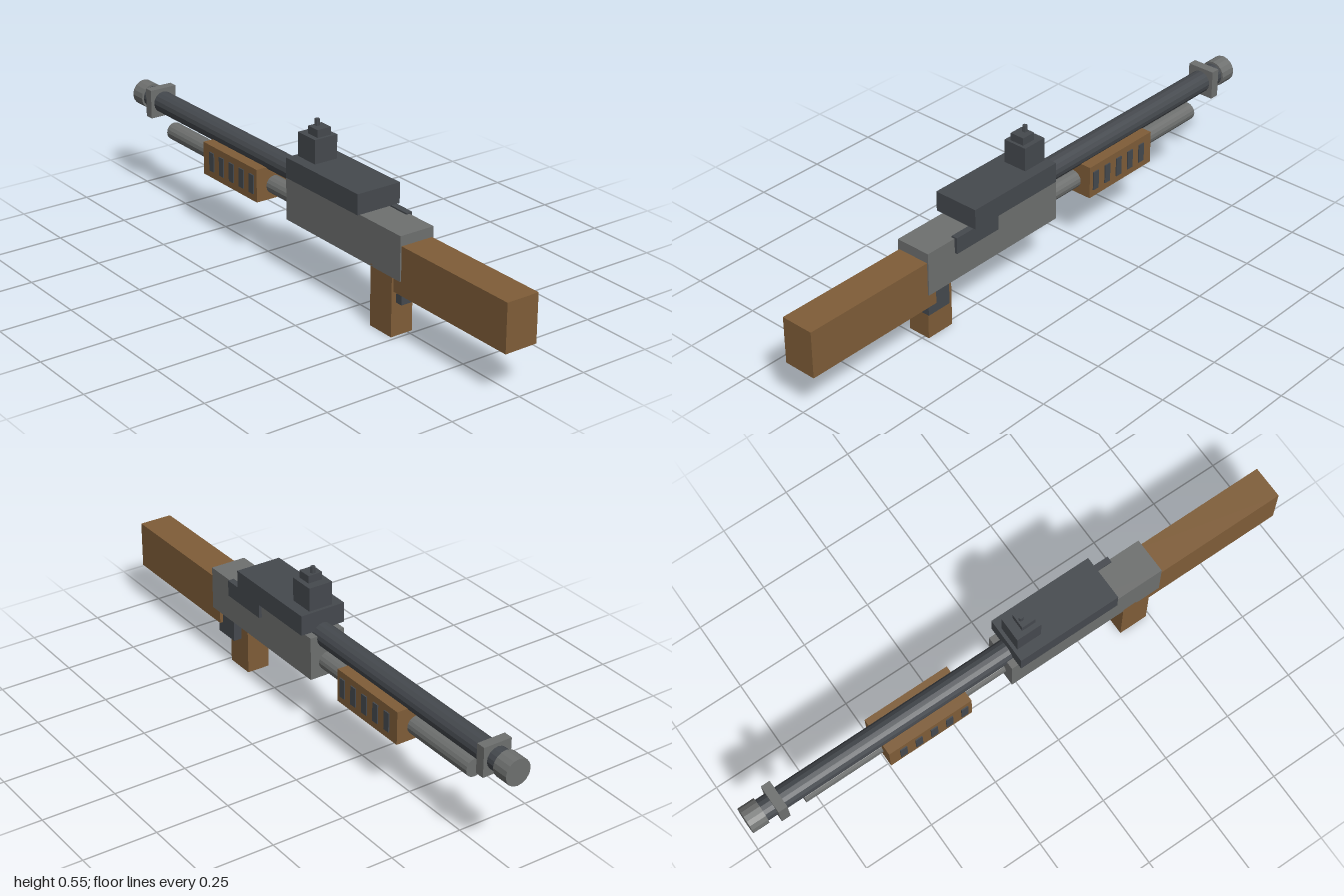
import * as THREE from 'three';

const mat = (name, color) => {
  const m = new THREE.MeshStandardMaterial({ color, flatShading: true });
  m.name = name;
  return m;
};

export function createModel() {
  const wood = mat('brown wood', 0x7f5d38);
  const dark = mat('dark metal', 0x45494e);
  const grey = mat('grey metal', 0x6e706f);
  const model = new THREE.Group();

  // box given by its limits on each axis
  const box = (name, material, [x0, x1], [y0, y1], [z0, z1], parent = model) => {
    const mesh = new THREE.Mesh(new THREE.BoxGeometry(x1 - x0, y1 - y0, z1 - z0), material);
    mesh.position.set((x0 + x1) / 2, (y0 + y1) / 2, (z0 + z1) / 2);
    mesh.name = name;
    parent.add(mesh);
  };

  // cylinder lying along z
  const tube = (name, material, radius, y, [z0, z1]) => {
    const geometry = new THREE.CylinderGeometry(radius, radius, z1 - z0, 16).rotateX(Math.PI / 2);
    const mesh = new THREE.Mesh(geometry, material);
    mesh.position.set(0, y, (z0 + z1) / 2);
    mesh.name = name;
    model.add(mesh);
  };

  // body, stock and grip
  box('receiver', grey, [-0.064, 0.062], [0.2, 0.349], [-0.055, 0.525]);
  box('stock', wood, [-0.059, 0.057], [0.153, 0.315], [0.49, 1]);
  box('grip', wood, [-0.064, 0.017], [0, 0.21], [0.383, 0.487]);
  box('triggerBlock', dark, [-0.046, 0.046], [0.112, 0.21], [0.422, 0.513]);
  box('sidePlate', dark, [0.05, 0.072], [0.298, 0.354], [0.225, 0.41]);

  // barrel, magazine tube and muzzle
  tube('barrel', dark, 0.038, 0.34, [-0.95, 0]);
  tube('magazineTube', grey, 0.031, 0.253, [-0.807, -0.04]);
  tube('muzzle', grey, 0.045, 0.34, [-1, -0.942]);
  box('barrelBand', grey, [-0.05, 0.05], [0.289, 0.39], [-0.906, -0.874]);

  // sliding handguard with slots on both sides
  const handguard = new THREE.Group();
  handguard.name = 'handguard';
  model.add(handguard);
  box('handguardBody', wood, [-0.069, 0.069], [0.205, 0.319], [-0.521, -0.212], handguard);
  for (let i = 0; i < 5; i++) {
    const z = -0.24 - i * 0.0575;
    for (const side of [-1, 1]) {
      box('handguardSlot', dark, [side * 0.07 - 0.003, side * 0.07 + 0.003],
        [0.23, 0.296], [z - 0.0125, z + 0.0125], handguard);
    }
  }

  // top cover and stepped sight
  box('topCover', dark, [-0.081, 0.081], [0.355, 0.424], [-0.032, 0.338]);
  box('sightBase', dark, [-0.043, 0.043], [0.42, 0.505], [-0.02, 0.07]);
  box('sightStep', dark, [-0.026, 0.026], [0.5, 0.531], [0.01, 0.06]);
  const post = new THREE.Mesh(new THREE.CylinderGeometry(0.008, 0.008, 0.028, 8), dark);
  post.position.set(0, 0.539, 0.023);
  post.name = 'sightPost';
  model.add(post);

  return model;
}
